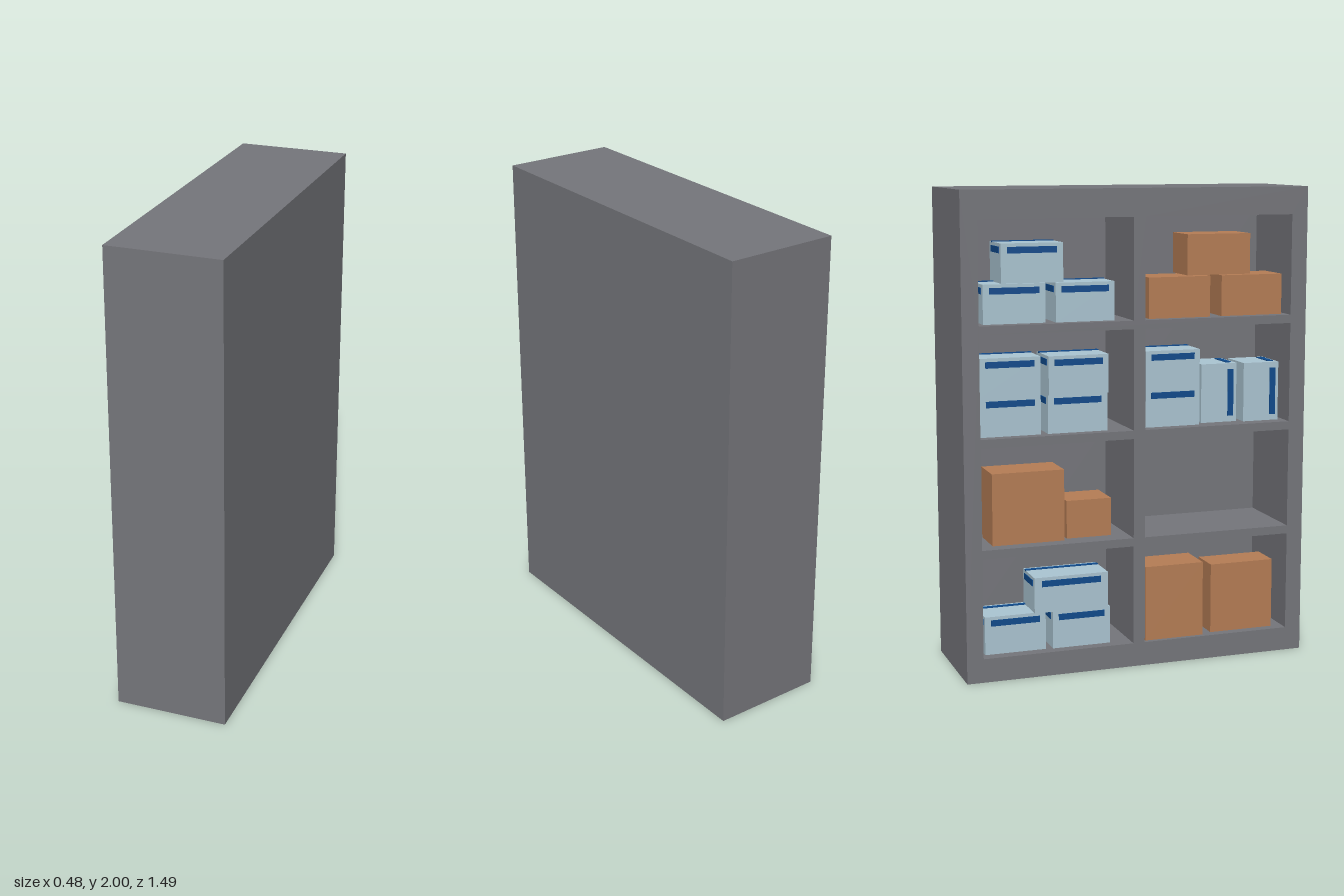
import * as THREE from 'three';

const mat = (name, color) => {
  const m = new THREE.MeshStandardMaterial({ color });
  m.name = name;
  return m;
};

export function createModel() {
  const grey = mat('grey metal', 0x75767b);
  const brown = mat('cardboard brown', 0xb57d55);
  const pale = mat('pale blue', 0xabc5d2);
  const blue = mat('dark blue', 0x0e4a8c);

  const model = new THREE.Group();
  model.name = 'shelfUnit';

  const W = 0.475, H = 2, L = 1.49;       // depth (x), height, length (z)
  const faceX = -W / 2, cellDepth = 0.363;
  const floors = [0.1, 0.555, 1.01, 1.465];
  const cellHeight = 0.42, cellLength = 0.65;

  function addBox(parent, name, material, size, pos) {
    const mesh = new THREE.Mesh(new THREE.BoxGeometry(...size), material);
    mesh.name = name;
    mesh.position.set(...pos);
    parent.add(mesh);
    return mesh;
  }

  // Cabinet frame with eight open compartments facing -x
  const rect = (path, x0, y0, x1, y1) =>
    path.moveTo(x0, y0).lineTo(x1, y0).lineTo(x1, y1).lineTo(x0, y1).closePath();
  const outline = new THREE.Shape();
  rect(outline, -L / 2, 0, L / 2, H);
  for (const z of [-0.675, 0.025]) {
    for (const y of floors) {
      const hole = new THREE.Path();
      rect(hole, z, y, z + cellLength, y + cellHeight);
      outline.holes.push(hole);
    }
  }
  const frame = new THREE.Mesh(
    new THREE.ExtrudeGeometry(outline, { depth: cellDepth, bevelEnabled: false }), grey);
  frame.name = 'shelfFrame';
  frame.rotation.y = -Math.PI / 2;
  frame.position.x = faceX + cellDepth;
  model.add(frame);

  // Solid panel behind the compartments
  const panel = W - cellDepth;
  addBox(model, 'backPanel', grey, [panel, H, L], [W / 2 - panel / 2, H / 2, 0]);

  // Cardboard box; z is measured from the -z end, inset from the open face
  function carton(row, z0, z1, inset, height, lift = 0, depth = 0.17) {
    addBox(model, 'cardboardBox', brown, [depth, height, z1 - z0],
      [faceX + inset + depth / 2, floors[row] + lift + height / 2, (z0 + z1) / 2 - L / 2]);
  }

  // Pale box with blue bands around the lid; may stand on its end
  function storageBox(row, z0, z1, inset, height, lift = 0, upright = false) {
    const depth = 0.17, t = 0.006;
    const span = z1 - z0;
    const h = upright ? span : height;     // own height
    const w = upright ? height : span;     // own width
    const box = new THREE.Group();
    box.name = 'storageBox';
    addBox(box, 'boxBody', pale, [depth, h, w], [0, 0, 0]);
    const bandY = h / 2 - 0.027;
    for (const s of [-1, 1]) {
      addBox(box, 'lidBand', blue, [t, 0.026, w * 0.8], [s * depth / 2, bandY, 0]);
      addBox(box, 'endBand', blue, [depth * 0.7, 0.026, t], [0, bandY, s * w / 2]);
    }
    addBox(box, 'lidStripe', blue, [0.02, t, w], [depth * 0.32, h / 2, 0]);
    if (upright) box.rotation.x = Math.PI / 2;
    box.position.set(faceX + inset + depth / 2, floors[row] + lift + height / 2,
      (z0 + z1) / 2 - L / 2);
    model.add(box);
  }

  // Top row
  storageBox(3, 0.1, 0.36, 0.05, 0.16);
  storageBox(3, 0.4, 0.65, 0.04, 0.16);
  storageBox(3, 0.18, 0.44, 0.065, 0.16, 0.16);
  carton(3, 0.8, 1.07, 0.04, 0.17);
  carton(3, 1.124, 1.397, 0.046, 0.17);
  carton(3, 0.988, 1.27, 0.09, 0.17, 0.17);

  // Second row
  for (const lift of [0, 0.16]) {
    storageBox(2, 0.08, 0.335, 0.045, 0.16, lift);
    storageBox(2, 0.365, 0.62, lift ? 0.03 : 0.045, 0.16, lift);
    storageBox(2, 0.79, 1.03, 0.05, 0.16, lift);
  }
  storageBox(2, 1.05, 1.21, 0.08, 0.25, 0, true);
  storageBox(2, 1.235, 1.395, 0.06, 0.25, 0, true);

  // Third row, its other compartment is empty
  carton(1, 0.13, 0.437, 0.06, 0.3);
  carton(1, 0.455, 0.65, 0.086, 0.16);

  // Bottom row
  storageBox(0, 0.09, 0.35, 0.05, 0.16);
  storageBox(0, 0.38, 0.63, 0.045, 0.16);
  storageBox(0, 0.3, 0.62, 0.04, 0.15, 0.16);
  carton(0, 0.78, 1.04, 0.02, 0.32);
  carton(0, 1.085, 1.37, 0.04, 0.3, 0, 0.14);

  return model;
}
